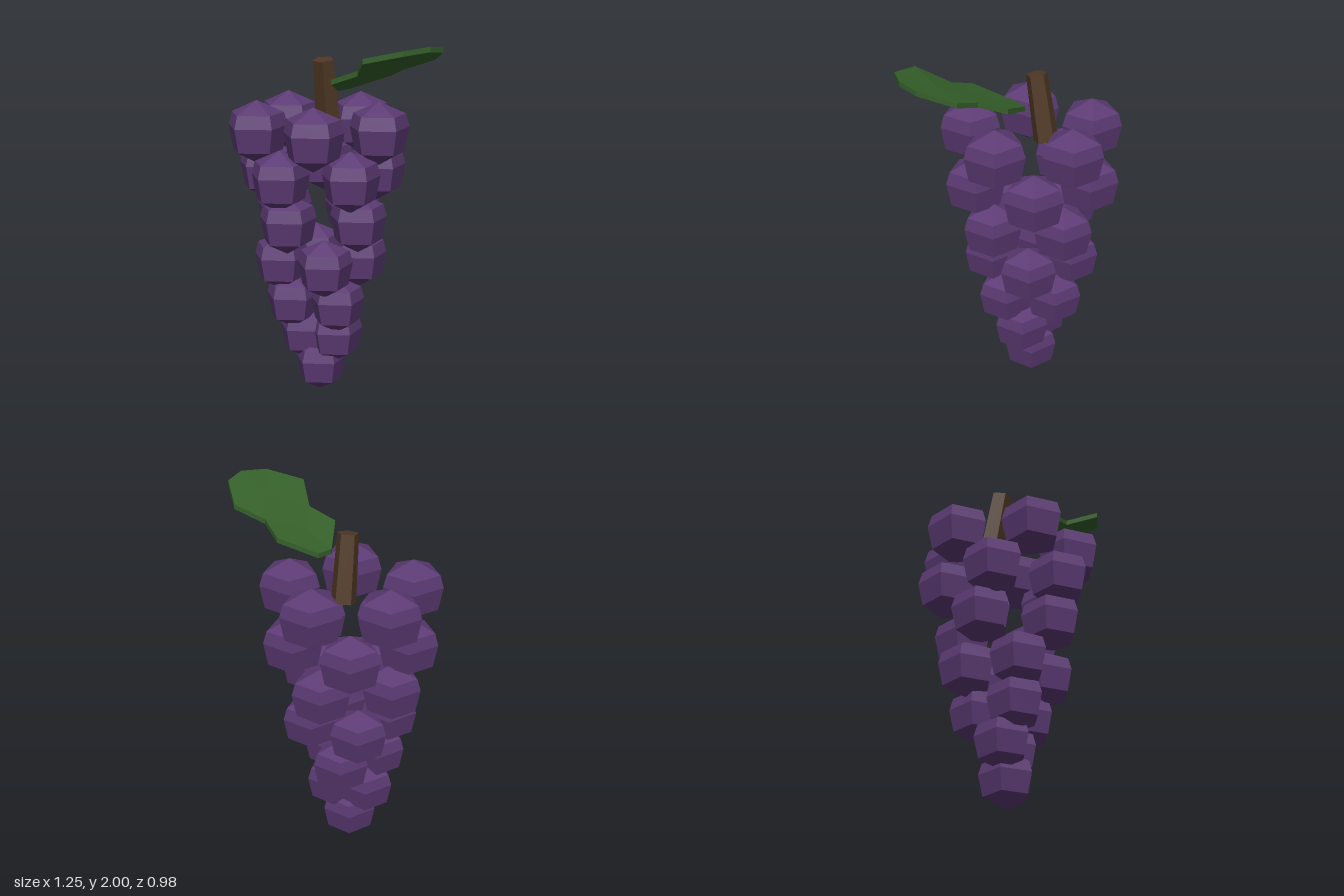
import * as THREE from 'three';

const flat = (color) => new THREE.MeshStandardMaterial({ color, flatShading: true });
const AXIS_X = -0.14;

// One row per tier: base height, berry radius, ring radius, berry count, start angle (degrees)
const TIERS = [
  [1.315, 0.17, 0.347, 5, 0],
  [1.08, 0.165, 0.322, 5, 36],
  [0.84, 0.162, 0.27, 4, 17],
  [0.597, 0.158, 0.218, 4, 60],
  [0.375, 0.155, 0.155, 3, 30],
  [0.18, 0.153, 0.093, 2, 0],
  [0.005, 0.15, 0, 1, 0],
];

// Five-sided faceted berry of unit radius, standing on its tip
function berryGeometry() {
  const profile = [[0, 0], [0.84, 0.42], [1, 1.2], [0.88, 1.62], [0, 2.03]]
    .map(([r, y]) => new THREE.Vector2(r, y));
  return new THREE.LatheGeometry(profile, 5, -Math.PI / 2);
}

// Leaf blade: two folded lobes with a thin rim
function leafGeometry() {
  const outline = [
    [0.02, 1.74, -0.064], [0.235, 1.815, -0.107], [0.345, 1.865, 0],
    [0.52, 1.925, 0.003], [0.624, 1.985, 0.174], [0.6, 2.0, 0.3],
    [0.497, 1.985, 0.413], [0.29, 1.94, 0.443], [0.195, 1.855, 0.278],
    [0.04, 1.8, 0.258], [-0.02, 1.735, 0.027],
  ];
  const n = outline.length;
  const inner = n, outer = n + 1;
  const top = [...outline, [0.14, 1.8, 0.09], [0.42, 1.93, 0.2]];
  const count = top.length;
  const thickness = 0.028;
  const points = [...top, ...top.map(([x, y, z]) => [x, y - thickness, z])];

  const faces = [[inner, outer, 2], [inner, 8, outer]];
  for (let i = 0; i < n; i++) {
    faces.push([i >= 2 && i < 8 ? outer : inner, (i + 1) % n, i]);
  }
  const index = [];
  for (const [a, b, c] of faces) {
    index.push(a, b, c, a + count, c + count, b + count);
  }
  for (let i = 0; i < n; i++) {
    const j = (i + 1) % n;
    index.push(i, j, j + count, i, j + count, i + count);
  }
  const geometry = new THREE.BufferGeometry();
  geometry.setAttribute('position', new THREE.Float32BufferAttribute(points.flat(), 3));
  geometry.setIndex(index);
  geometry.computeVertexNormals();
  return geometry;
}

export function createModel() {
  const model = new THREE.Group();
  model.name = 'grapeBunch';

  // Berries, in rings that narrow towards the bottom
  const berries = new THREE.Group();
  berries.name = 'berries';
  const geometry = berryGeometry();
  const skin = flat(0x5c3a74);
  for (const [y, size, ring, count, start] of TIERS) {
    for (let i = 0; i < count; i++) {
      const angle = THREE.MathUtils.degToRad(start) + (i * 2 * Math.PI) / count;
      const berry = new THREE.Mesh(geometry, skin);
      berry.name = 'berry';
      berry.scale.setScalar(size);
      berry.position.set(AXIS_X + ring * Math.cos(angle), y, ring * Math.sin(angle));
      berries.add(berry);
    }
  }
  model.add(berries);

  // Stem, leaning forward at the top
  const bottom = new THREE.Vector3(-0.13, 1.5, -0.1);
  const tip = new THREE.Vector3(-0.132, 1.865, -0.035);
  const direction = tip.clone().sub(bottom);
  const stem = new THREE.Mesh(
    new THREE.CylinderGeometry(0.06, 0.07, direction.length(), 5, 1, false, 0.3),
    flat(0x4f3824),
  );
  stem.name = 'stem';
  stem.position.copy(bottom).add(tip).multiplyScalar(0.5);
  stem.quaternion.setFromUnitVectors(new THREE.Vector3(0, 1, 0), direction.normalize());
  model.add(stem);

  // Leaf
  const leaf = new THREE.Mesh(leafGeometry(), flat(0x35602a));
  leaf.name = 'leaf';
  model.add(leaf);

  return model;
}
